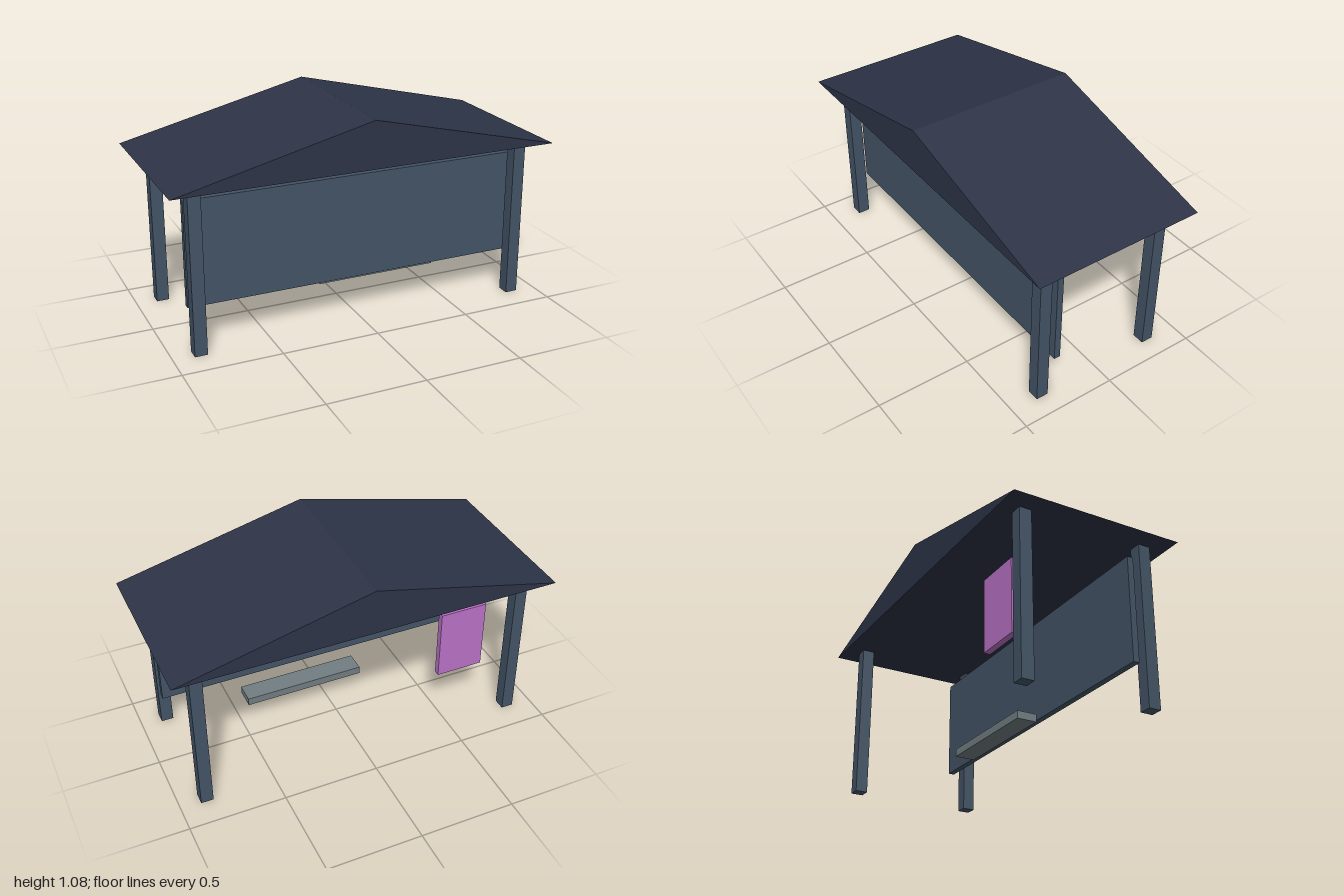
import * as THREE from 'three';

const material = (name, color) => {
  const m = new THREE.MeshStandardMaterial({ color });
  m.name = name;
  return m;
};

export function createModel() {
  const group = new THREE.Group();
  group.name = 'shelter';
  const slate = material('slate blue', 0x435466);
  const navy = material('dark navy', 0x2d3447);
  const grey = material('bench grey', 0x727e83);
  const violet = material('violet', 0xbb72c7);

  // Box given by its minimum and maximum corners
  const box = (name, mat, [x0, y0, z0], [x1, y1, z1]) => {
    const mesh = new THREE.Mesh(new THREE.BoxGeometry(x1 - x0, y1 - y0, z1 - z0), mat);
    mesh.position.set((x0 + x1) / 2, (y0 + y1) / 2, (z0 + z1) / 2);
    mesh.name = name;
    group.add(mesh);
  };

  // Solid gable roof, ridge running front to back
  const gable = new THREE.Shape([
    new THREE.Vector2(-1, 0.838),
    new THREE.Vector2(1, 0.838),
    new THREE.Vector2(0, 1.08),
  ]);
  const roofGeometry = new THREE.ExtrudeGeometry(gable, { depth: 0.9, bevelEnabled: false });
  roofGeometry.translate(0, 0, -0.45);
  const roof = new THREE.Mesh(roofGeometry, navy);
  roof.name = 'roof';
  group.add(roof);

  // Four corner posts
  for (const x of [-0.863, 0.863]) {
    for (const z of [-0.33, 0.33]) {
      box('post', slate, [x - 0.032, 0, z - 0.032], [x + 0.032, 0.838, z + 0.032]);
    }
  }

  // Wall panel, bench and notice board
  box('wallPanel', slate, [-0.89, 0.212, 0.23], [0.89, 0.755, 0.263]);
  box('bench', grey, [-0.166, 0.157, 0.057], [0.478, 0.198, 0.167]);
  box('noticeBoard', violet, [-0.705, 0.31, -0.293], [-0.452, 0.692, -0.26]);

  return group;
}
